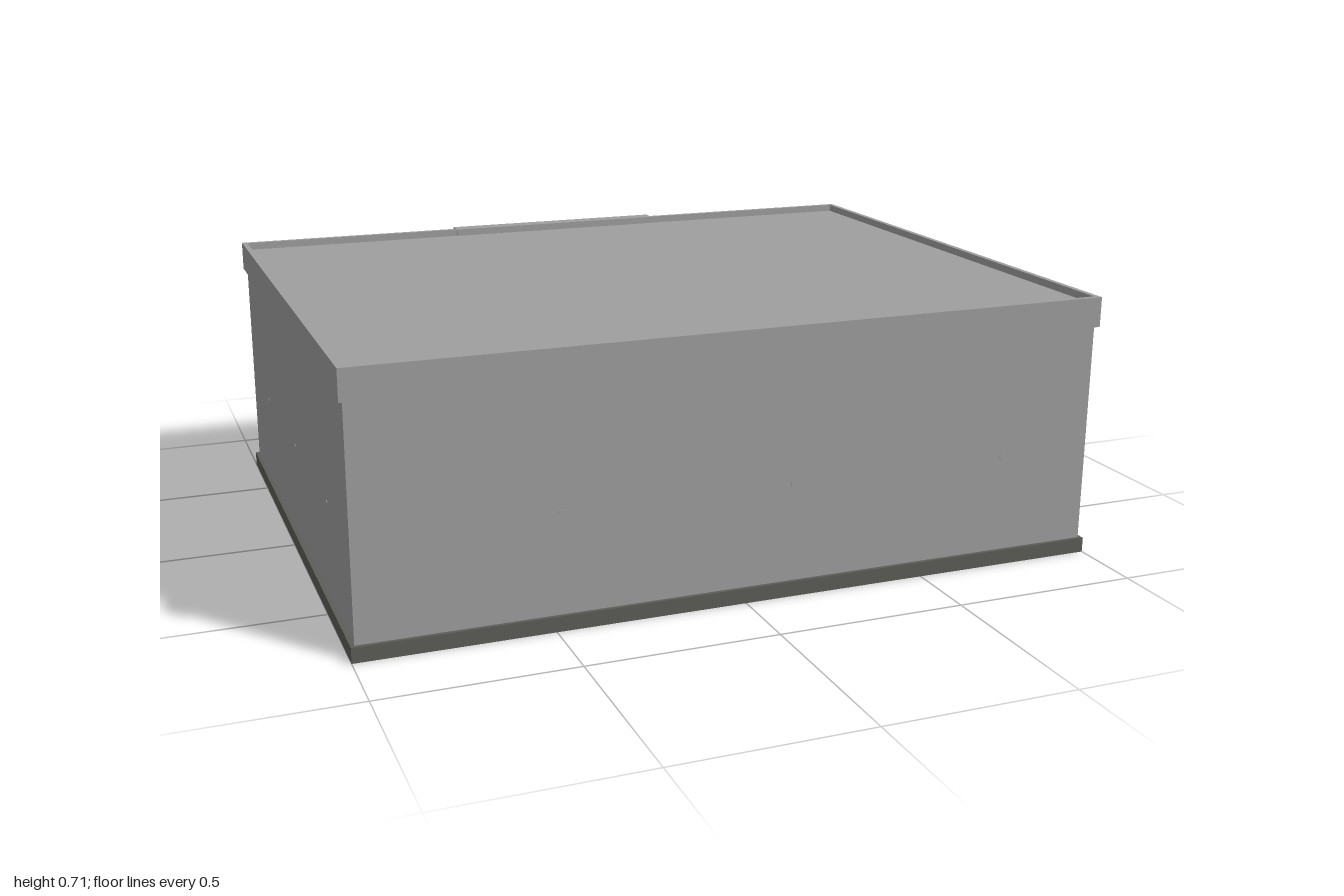
import * as THREE from 'three';

export function createModel() {
  const model = new THREE.Group();
  const mat = (name, color) => {
    const m = new THREE.MeshStandardMaterial({ color });
    m.name = name;
    return m;
  };
  const concrete = mat('concrete grey', 0x9e9e9e);
  const plinthGrey = mat('plinth grey', 0x5c5c58);
  const wood = mat('brown wood', 0x96673a);
  const metal = mat('dark metal', 0x5e5f60);

  const add = (parent, name, geometry, material, x = 0, y = 0, z = 0) => {
    const mesh = new THREE.Mesh(geometry, material);
    mesh.name = name;
    mesh.position.set(x, y, z);
    parent.add(mesh);
    return mesh;
  };
  // Box given by its two opposite corners
  const box = (parent, name, material, [x0, y0, z0], [x1, y1, z1]) =>
    add(parent, name, new THREE.BoxGeometry(x1 - x0, y1 - y0, z1 - z0), material,
      (x0 + x1) / 2, (y0 + y1) / 2, (z0 + z1) / 2);
  const rectangle = (Type, x0, y0, x1, y1) =>
    new Type([[x0, y0], [x1, y0], [x1, y1], [x0, y1]].map(p => new THREE.Vector2(...p)));
  const frame = (w, h, t, depth) => {
    const shape = rectangle(THREE.Shape, -w / 2, -h / 2, w / 2, h / 2);
    shape.holes.push(rectangle(THREE.Path, -w / 2 + t, -h / 2 + t, w / 2 - t, h / 2 - t));
    return new THREE.ExtrudeGeometry(shape, { depth, bevelEnabled: false });
  };

  // Main block with plinth, roof and raised parapet
  box(model, 'plinth', plinthGrey, [-1, 0, -0.737], [1, 0.04, 0.8]);
  box(model, 'walls', concrete, [-0.99, 0.04, -0.725], [0.99, 0.66, 0.79]);
  box(model, 'roof', concrete, [-0.985, 0.66, -0.722], [0.985, 0.69, 0.785]);
  const parapet = add(model, 'parapet', frame(2, 1.537, 0.015, 0.08), concrete, 0, 0.63, 0.0315);
  parapet.rotation.x = -Math.PI / 2;

  // Projecting entrance bay
  const entrance = new THREE.Group();
  entrance.name = 'entrance';
  model.add(entrance);
  box(entrance, 'entrancePlinth', plinthGrey, [-0.342, 0, -0.777], [0.337, 0.04, -0.73]);
  box(entrance, 'entranceWall', concrete, [-0.332, 0.04, -0.766], [0.327, 0.71, -0.72]);
  box(entrance, 'entranceTrim', concrete, [-0.342, 0.63, -0.777], [0.337, 0.69, -0.73]);

  // Door with frame and knob
  const door = new THREE.Group();
  door.name = 'door';
  entrance.add(door);
  box(door, 'doorLeaf', wood, [-0.095, 0.04, -0.772], [0.075, 0.41, -0.764]);
  for (const x of [-0.108, 0.07])
    box(door, 'doorJamb', wood, [x, 0.04, -0.78], [x + 0.013, 0.42, -0.764]);
  box(door, 'doorHead', wood, [-0.095, 0.407, -0.78], [0.07, 0.42, -0.764]);
  const stem = add(door, 'knobStem', new THREE.CylinderGeometry(0.006, 0.006, 0.026, 12), metal,
    -0.075, 0.23, -0.783);
  stem.rotation.x = Math.PI / 2;
  add(door, 'doorKnob', new THREE.SphereGeometry(0.013, 16, 12), metal, -0.075, 0.23, -0.797);

  // Windows either side of the door
  for (const side of [-1, 1]) {
    const win = new THREE.Group();
    win.name = side > 0 ? 'leftWindow' : 'rightWindow';
    win.position.set(side * 0.645, 0.3, -0.725);
    model.add(win);
    add(win, 'windowFrame', frame(0.305, 0.215, 0.012, 0.012), wood, 0, 0, -0.01);
    for (const pane of [-1, 1])
      add(win, 'windowPane', new THREE.BoxGeometry(0.137, 0.191, 0.006), concrete, pane * 0.0705, 0, -0.002);
    add(win, 'mullion', new THREE.BoxGeometry(0.004, 0.191, 0.007), metal, 0, 0, -0.002);
  }

  // Small flush plugs in the plain walls
  const plug = (r, x, z) => add(model, 'wallPlug', new THREE.CylinderGeometry(r, r, 0.004, 8), concrete, x, 0.3, z);
  for (const x of [-0.48, 0.13, 0.735]) plug(0.01, x, 0.79).rotation.x = Math.PI / 2;
  for (const z of [0.515, 0.05, -0.415])
    for (const side of [-1, 1]) plug(0.005, side * 0.99, z).rotation.z = Math.PI / 2;

  return model;
}
